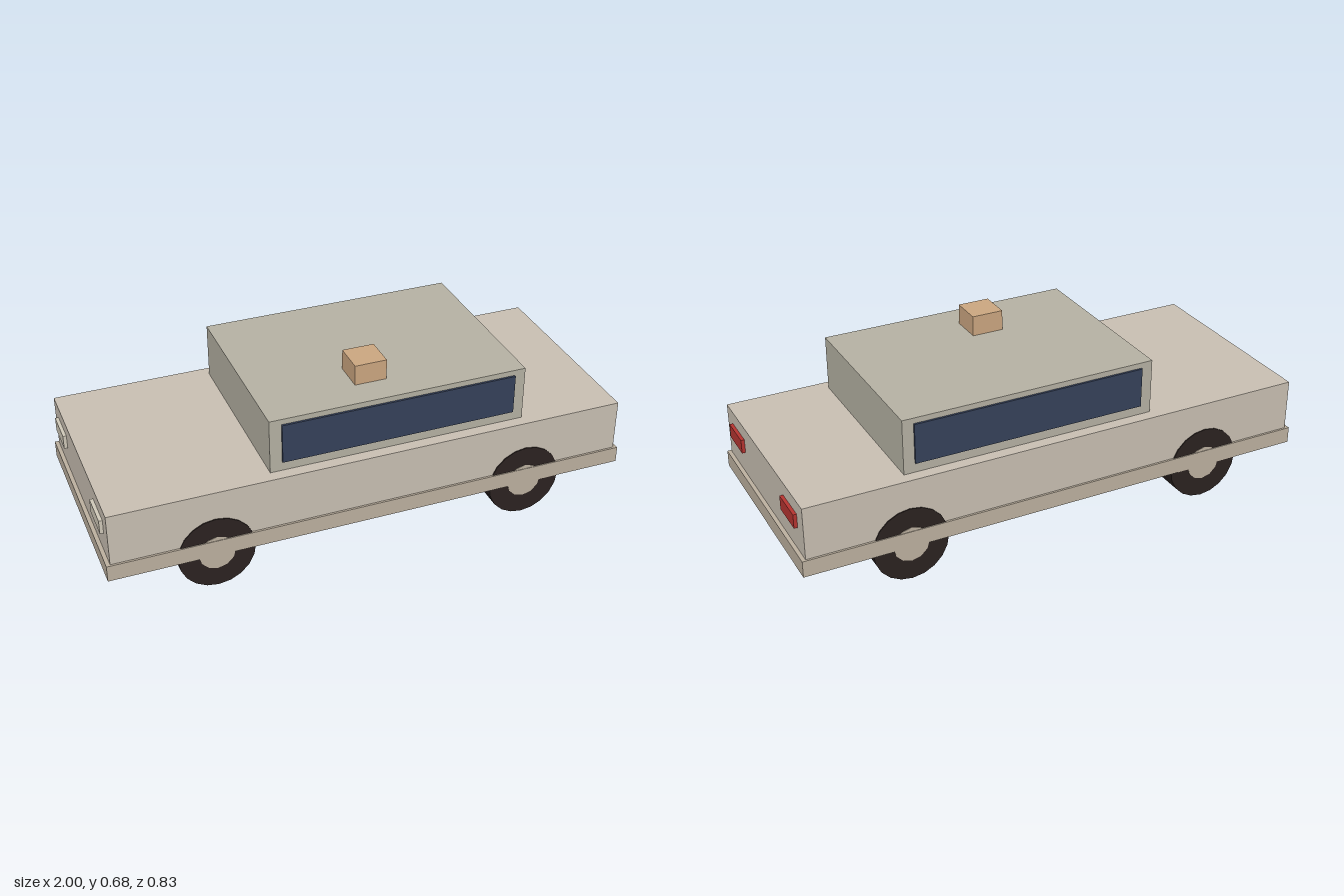
import * as THREE from 'three';

const material = (color) => new THREE.MeshStandardMaterial({ color });

export function createModel() {
  const car = new THREE.Group();
  car.name = 'car';

  const paint = material(0xc8bfb2);
  const roofPaint = material(0xb5b1a3);
  const trim = material(0xbcb09f);
  const glass = material(0x35415a);
  const red = material(0xb53430);
  const lamp = material(0xcfc8b8);
  const rubber = material(0x2b2220);
  const tan = material(0xcba680);

  // Box given by its limits on each axis
  const box = (name, mat, [x0, x1], [y0, y1], [z0, z1]) => {
    const mesh = new THREE.Mesh(new THREE.BoxGeometry(x1 - x0, y1 - y0, z1 - z0), mat);
    mesh.position.set((x0 + x1) / 2, (y0 + y1) / 2, (z0 + z1) / 2);
    mesh.name = name;
    car.add(mesh);
  };

  // Body, bumper skirt, cabin and roof box
  box('body', paint, [-0.985, 0.985], [0.193, 0.395], [-0.405, 0.405]);
  box('bumperSkirt', trim, [-1, 1], [0.132, 0.195], [-0.413, 0.413]);
  box('cabin', roofPaint, [-0.385, 0.6], [0.39, 0.606], [-0.36, 0.36]);
  box('roofBox', tan, [-0.02, 0.102], [0.6, 0.684], [0.12, 0.243]);

  // Tyre is a ring with the hub set through its middle
  const tyreR = 0.143, hubR = 0.068;
  const tyreGeo = new THREE.CylinderGeometry(tyreR, tyreR, 0.116, 20).rotateX(Math.PI / 2);
  const hubGeo = new THREE.CylinderGeometry(hubR, hubR, 0.12, 12).rotateX(Math.PI / 2);

  for (const side of [-1, 1]) {
    const span = (a, b) => (side > 0 ? [a, b] : [-b, -a]);

    box('sideWindow', glass, [-0.34, 0.558], [0.432, 0.585], span(0.35, 0.368));
    box('tailLight', red, [0.975, 0.998], [0.289, 0.343], span(0.211, 0.347));
    box('headLight', lamp, [-0.998, -0.975], [0.289, 0.343], span(0.211, 0.347));

    for (const x of [-0.605, 0.602]) {
      const wheel = new THREE.Group();
      wheel.name = 'wheel';
      const tyre = new THREE.Mesh(tyreGeo, rubber);
      tyre.name = 'tyre';
      const hub = new THREE.Mesh(hubGeo, trim);
      hub.name = 'hub';
      wheel.add(tyre, hub);
      wheel.position.set(x, tyreR, side * 0.351);
      car.add(wheel);
    }
  }
  return car;
}
